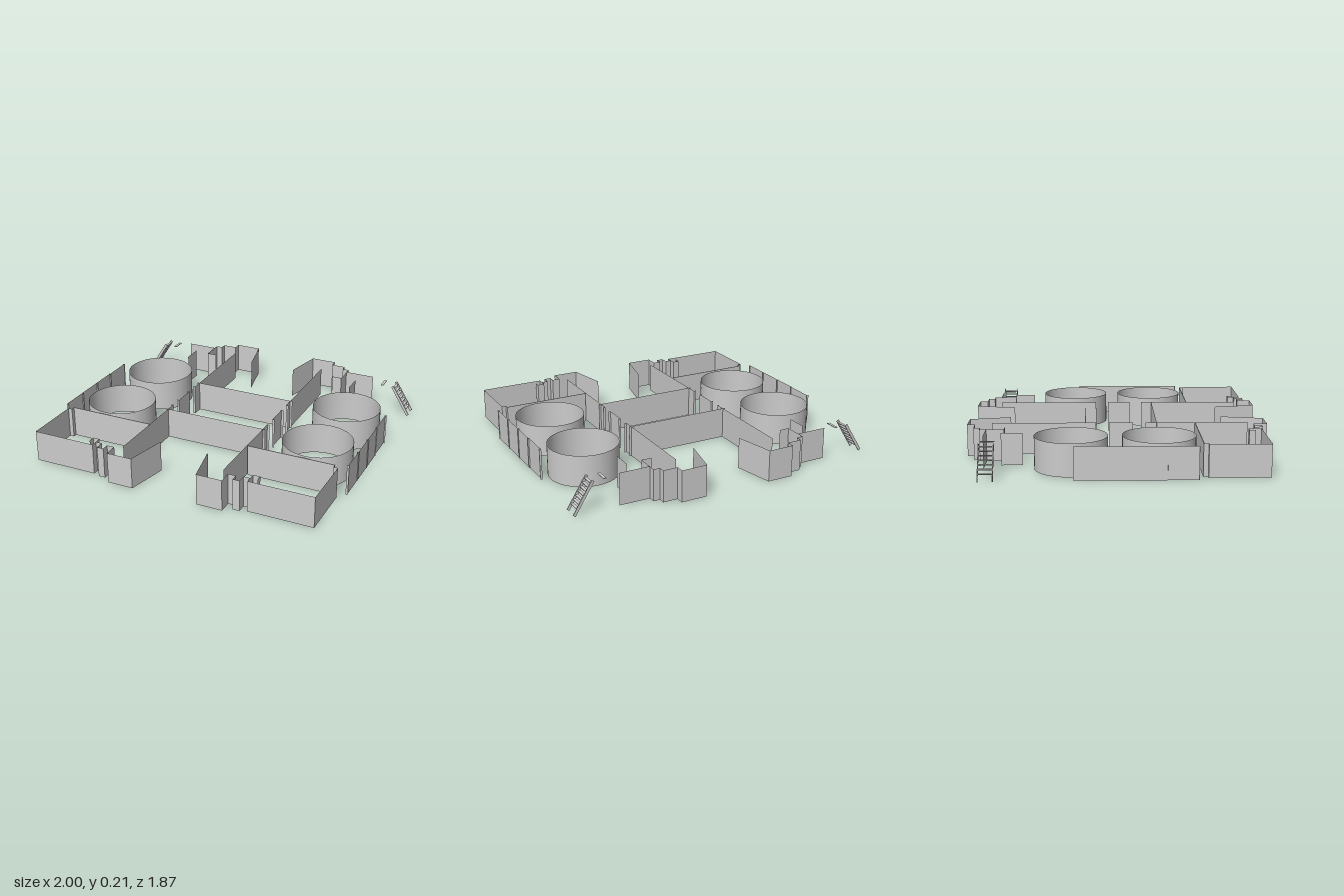
import * as THREE from 'three';

const H = 0.2;
const mat = new THREE.MeshStandardMaterial({ color: 0xcccccc, side: THREE.DoubleSide });

// Upright sheet following a floor-plan polyline of [x, z] points
function wall(name, pts, h = H) {
  const pos = [];
  for (let i = 0; i + 1 < pts.length; i++) {
    const [x0, z0] = pts[i], [x1, z1] = pts[i + 1];
    pos.push(x0, 0, z0, x1, 0, z1, x1, h, z1, x0, 0, z0, x1, h, z1, x0, h, z0);
  }
  const g = new THREE.BufferGeometry();
  g.setAttribute('position', new THREE.Float32BufferAttribute(pos, 3));
  g.computeVertexNormals();
  const m = new THREE.Mesh(g, mat);
  m.name = name;
  return m;
}

function box(name, w, h, d, x, y, z, tilt = 0) {
  const m = new THREE.Mesh(new THREE.BoxGeometry(w, h, d), mat);
  m.name = name;
  m.position.set(x, y, z);
  m.rotation.z = tilt;
  return m;
}

// Leaning stair: two stringers and flat treads
function stair(s) {
  const g = new THREE.Group();
  g.name = 'stair';
  const run = 0.125, len = Math.hypot(run, H) - 0.01;
  for (const z of [-0.803, -0.717]) {
    g.add(box('stringer', 0.018, len, 0.005, s * 0.934, 0.098, z, s * Math.atan2(run, H)));
  }
  for (let i = 0; i < 7; i++) {
    const y = 0.04 + i * 0.0233;
    g.add(box('tread', 0.018, 0.005, 0.084, s * (0.994 - run * y / H), y, -0.76));
  }
  return g;
}

// Everything belonging to one side of the plan
function wing(s) {
  const g = new THREE.Group();
  g.name = s > 0 ? 'leftWing' : 'rightWing';
  const add = (name, pts, h) => g.add(wall(name, pts.map(([x, z]) => [s * x, z]), h));

  // Round rooms, set slightly further in on the right wing
  for (const z of [0.245, -0.278]) {
    const c = new THREE.Mesh(new THREE.CylinderGeometry(0.22, 0.22, H, 56, 1, true), mat);
    c.name = 'roundRoom';
    c.position.set(s > 0 ? 0.7 : -0.682, H / 2, z);
    g.add(c);
  }

  // Outer side wall with narrow posts between its panels
  add('outerWall', [[0.972, 0.46], [0.972, -0.07], [0.968, -0.07], [0.968, -0.26]]);
  for (const z of [0.46, 0.28, 0.1, -0.07, -0.26]) add('outerPost', [[0.963, z], [0.977, z]]);

  // Front room: side, front, folded pilasters, bay and slanted entrance cheek
  add('frontRoomWall', [
    [0.9, 0.49], [0.9, 0.517], [0.927, 0.517], [0.927, 0.88], [0.515, 0.88], [0.515, 0.84],
    [0.473, 0.84], [0.473, 0.895], [0.43, 0.895], [0.43, 0.85],
    [0.38, 0.85], [0.38, 0.935], [0.215, 0.935], [0.16, 0.67],
  ]);
  add('frontRoomPier', [[0.56, 0.84], [0.56, 0.8], [0.535, 0.8], [0.515, 0.8], [0.515, 0.84]]);
  g.add(box('frontRoomRearWall', 0.56, H, 0.004, s * 0.62, H / 2, 0.49));

  // Back room: rear wall, stepped corner, bay and slanted entrance cheek
  add('backRoomRearWall', [[0.71, -0.797], [0.515, -0.797]], H + 0.003);
  add('backRoomWall', [
    [0.515, -0.797], [0.515, -0.84], [0.473, -0.84], [0.473, -0.88],
    [0.38, -0.88], [0.38, -0.93], [0.215, -0.93], [0.16, -0.675],
  ]);
  add('backRoomPartition', [[0.615, -0.57], [0.615, -0.7]]);
  add('backRoomNiche', [[0.515, -0.797], [0.515, -0.69], [0.45, -0.69]]);

  // Corridor walls, solid at the ends and broken by doorways in the middle
  add('corridorFront', [[0.335, 0.82], [0.335, 0.25]]);
  for (const [a, b] of [[0.25, 0.18], [0.1, -0.05], [-0.13, -0.2]]) {
    add('corridorPier', [[0.35, a], [0.335, a], [0.335, b], [0.35, b]]);
  }
  add('corridorBack', [[0.335, -0.2], [0.335, -0.78]]);

  // Stair and its upper landing tread
  g.add(stair(s));
  g.add(box('landingTread', 0.018, 0.004, 0.082, s * 0.8, 0.19, -0.76));
  return g;
}

export function createModel() {
  const model = new THREE.Group();
  model.name = 'floorPlanWalls';
  for (const s of [1, -1]) model.add(wing(s));
  // Cross walls closing the central hall
  for (const z of [0.25, -0.2]) model.add(wall('hallWall', [[-0.335, z], [0.335, z]]));
  return model;
}
